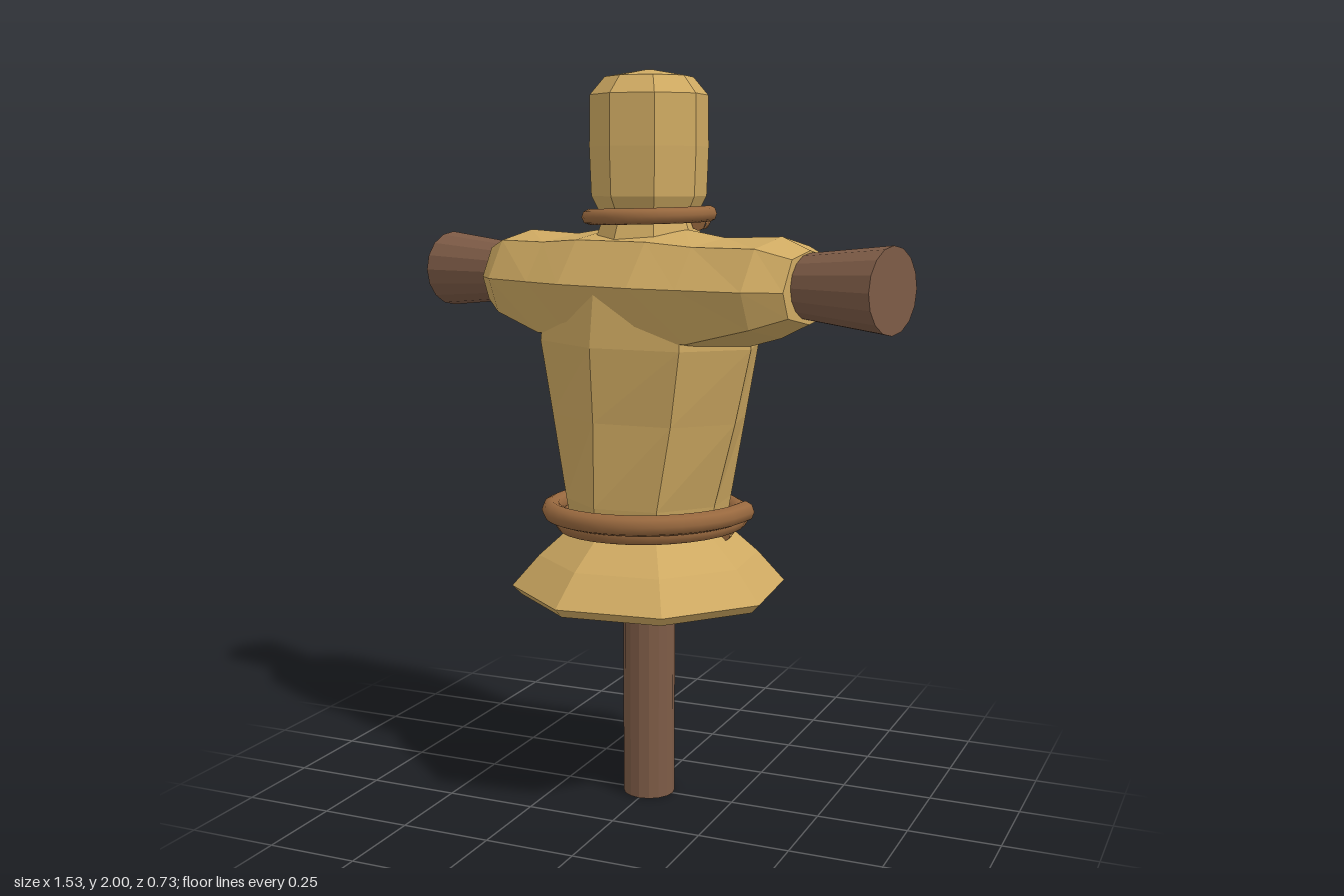
import * as THREE from 'three';
import { mergeGeometries } from 'three/addons/utils/BufferGeometryUtils.js';

const SIDES = 8;
const ARM_Y = 1.45;

// Closed skin over rings of points; each ring runs counterclockwise around the loft direction.
function loft(rings) {
  const n = rings[0].length;
  const positions = [];
  const index = [];
  rings.forEach(ring => ring.forEach(p => positions.push(...p)));
  for (let j = 0; j < rings.length - 1; j++) {
    for (let i = 0; i < n; i++) {
      const a = j * n + i, b = j * n + (i + 1) % n;
      index.push(a, b, b + n, a, b + n, a + n);
    }
  }
  const top = (rings.length - 1) * n;
  for (let i = 1; i < n - 1; i++) {
    index.push(0, i + 1, i);
    index.push(top, top + i, top + i + 1);
  }
  const g = new THREE.BufferGeometry();
  g.setAttribute('position', new THREE.Float32BufferAttribute(positions, 3));
  g.setIndex(index);
  const flat = g.toNonIndexed();
  flat.computeVertexNormals();
  return flat;
}

// Horizontal octagon ring with corners on the axes.
function octagon([y, rx, rz = rx]) {
  return Array.from({ length: SIDES }, (_, i) => {
    const a = (i / SIDES) * Math.PI * 2;
    return [Math.cos(a) * rx, y, -Math.sin(a) * rz];
  });
}

// Vertical section of the shoulders at a given x.
function shoulderRing([x, top, upper, lower, bottom, rz]) {
  const half = [[upper, 0.68 * rz], [1.44, rz], [lower, 0.8 * rz]];
  return [
    [x, top, 0],
    ...half.map(([y, z]) => [x, y, z]),
    [x, bottom, 0],
    ...half.reverse().map(([y, z]) => [x, y, -z]),
  ];
}

// Rope wound downwards around the y axis, with flat cut ends.
function rope({ y0, y1, r0, r1, turns, tube }) {
  const steps = 16 * turns;
  const points = Array.from({ length: steps + 1 }, (_, i) => {
    const t = i / steps, a = t * turns * Math.PI * 2;
    const r = THREE.MathUtils.lerp(r0, r1, t);
    return new THREE.Vector3(Math.cos(a) * r, THREE.MathUtils.lerp(y0, y1, t), Math.sin(a) * r);
  });
  const curve = new THREE.CatmullRomCurve3(points);
  const start = new THREE.CircleGeometry(tube, 8).rotateY(Math.PI).translate(r0, y0, 0);
  const end = new THREE.CircleGeometry(tube, 8).translate(r1, y1, 0);
  return mergeGeometries([new THREE.TubeGeometry(curve, 32 * turns, tube, 8, false), start, end]);
}

export function createModel() {
  const model = new THREE.Group();
  model.name = 'trainingDummy';

  const straw = new THREE.MeshStandardMaterial({ color: 0xcfaa62, flatShading: true });
  const wood = new THREE.MeshStandardMaterial({ color: 0x7d5b46, flatShading: true });
  const cord = new THREE.MeshStandardMaterial({ color: 0x99693f });

  const add = (name, geometry, material, parent = model) => {
    const mesh = new THREE.Mesh(geometry, material);
    mesh.name = name;
    parent.add(mesh);
    return mesh;
  };

  // Upright post
  add('post', new THREE.CylinderGeometry(0.072, 0.072, 0.7, 16).translate(0, 0.35, 0), wood);

  // Stuffed figure, turned slightly on the post
  const figure = new THREE.Group();
  figure.name = 'figure';
  figure.rotation.y = -0.295;
  model.add(figure);

  // Flared skirt and torso: [y, x radius, z radius]
  add('torso', loft([
    [0.58, 0.355], [0.605, 0.38], [0.69, 0.305], [0.77, 0.215], [0.85, 0.228],
    [1.08, 0.295, 0.23], [1.28, 0.345, 0.242], [1.44, 0.33, 0.225],
  ].map(octagon)), straw, figure);

  // Shoulders: [x, top, upper, lower, bottom, z radius], mirrored
  const side = [
    [0.525, 1.54, 1.52, 1.375, 1.355, 0.115],
    [0.44, 1.572, 1.545, 1.345, 1.315, 0.175],
    [0.26, 1.565, 1.545, 1.3, 1.265, 0.21],
    [0.12, 1.585, 1.555, 1.3, 1.265, 0.235],
  ];
  const mirrored = side.map(([x, ...rest]) => [-x, ...rest]);
  add('shoulders', loft([...mirrored, ...side.reverse()].map(shoulderRing)), straw, figure);

  // Head
  add('head', loft([
    [1.54, 0.15], [1.61, 0.125], [1.67, 0.155], [1.8, 0.16], [1.935, 0.158],
    [1.982, 0.118], [2.0, 0.012],
  ].map(octagon)), straw, figure);

  // Arm stakes, wider at the outer ends
  for (const [name, s] of [['leftArm', 1], ['rightArm', -1]]) {
    const arm = add(name, new THREE.CylinderGeometry(0.109, 0.077, 0.31, 16), wood, figure);
    arm.rotation.z = -s * Math.PI / 2;
    arm.position.set(s * 0.612, ARM_Y, 0);
  }

  // Ropes at the neck and waist
  add('neckRope', rope({ y0: 1.625, y1: 1.6, r0: 0.176, r1: 0.142, turns: 1, tube: 0.021 }), cord);
  add('waistRope', rope({ y0: 0.832, y1: 0.768, r0: 0.283, r1: 0.215, turns: 2, tube: 0.028 }), cord);

  return model;
}
